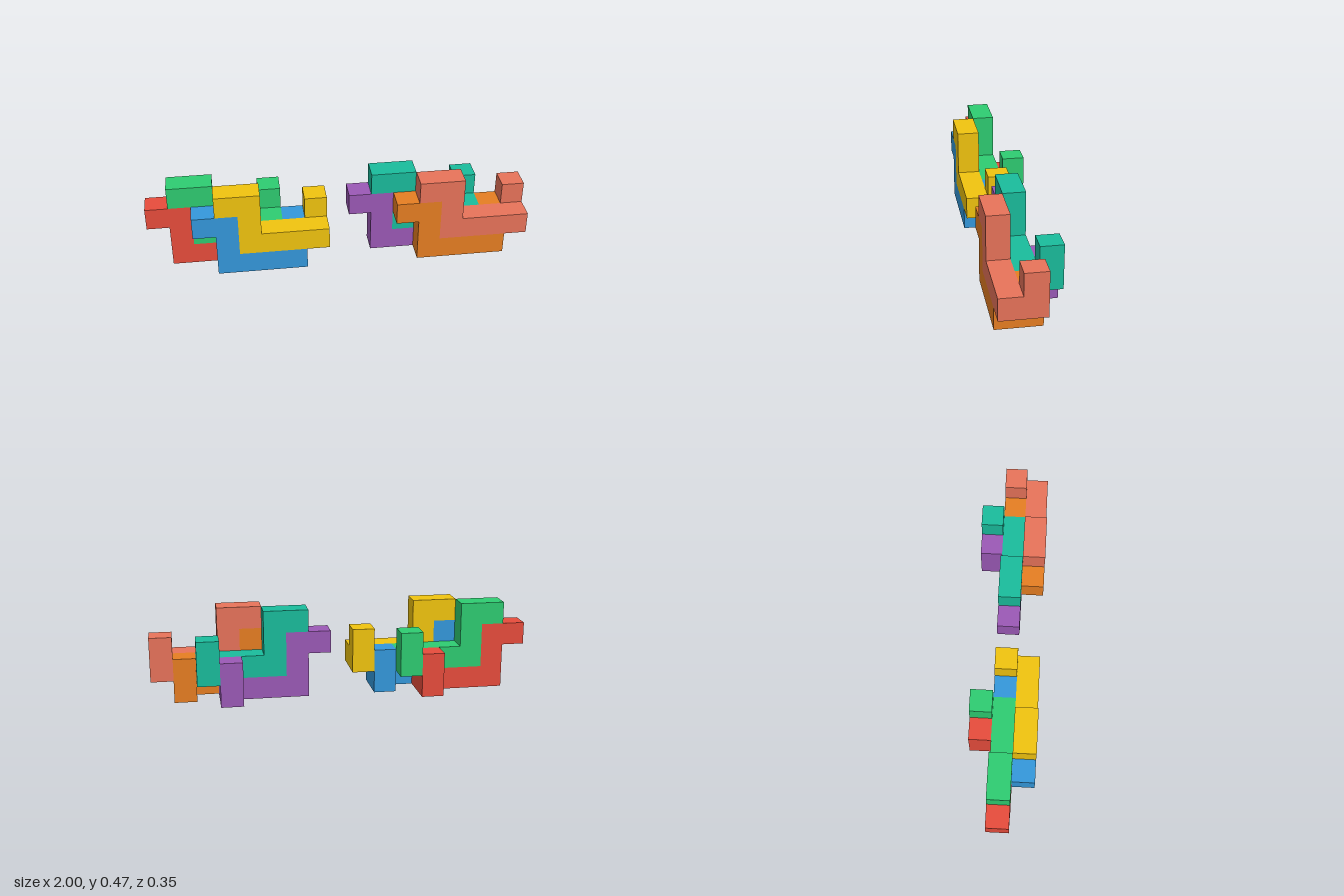
import * as THREE from 'three';

const U = 2 / 17; // one cube of the puzzle grid

// Stepped outline of a piece, in cube units
const OUTLINE = [[1, 0], [5, 0], [5, 1], [2, 1], [2, 3], [0, 3], [0, 2], [1, 2]];

function createPiece(name, color, x, y, z) {
  const piece = new THREE.Group();
  piece.name = name;
  const material = new THREE.MeshStandardMaterial({ color });

  // Flat stepped body, one cube deep
  const shape = new THREE.Shape(OUTLINE.map(([px, py]) => new THREE.Vector2(px, py)));
  const body = new THREE.Mesh(
    new THREE.ExtrudeGeometry(shape, { depth: 1, bevelEnabled: false }), material);
  body.name = 'steppedBody';

  // Upright hook, two cubes tall, behind the far end
  const hook = new THREE.Mesh(new THREE.BoxGeometry(1, 2, 1), material);
  hook.name = 'uprightHook';
  hook.position.set(4.5, 1, -0.5);

  piece.add(body, hook);
  piece.position.set(x, y, z);
  return piece;
}

// Column, row and front-to-back place of the four pieces in a cluster
const PLACES = [
  ['lowerBackPiece', 0, 0, -0.5],
  ['upperBackPiece', 1, 1, -0.5],
  ['lowerFrontPiece', 2, 0, 0.5],
  ['upperFrontPiece', 3, 1, 0.5],
];

// Each cluster: name, first column, colours in the order of PLACES
const CLUSTERS = [
  ['rightCluster', -8.5, [0xe74c3c, 0x2ecc71, 0x3498db, 0xf1c40f]],
  ['leftCluster', 0.5, [0x9b59b6, 0x1abc9c, 0xe67e22, 0xe8735a]],
];

export function createModel() {
  const model = new THREE.Group();
  model.name = 'interlockingBlocks';
  for (const [name, startX, colors] of CLUSTERS) {
    const cluster = new THREE.Group();
    cluster.name = name;
    PLACES.forEach(([pieceName, x, y, z], i) =>
      cluster.add(createPiece(pieceName, colors[i], startX + x, y, z)));
    model.add(cluster);
  }
  model.scale.setScalar(U);
  return model;
}
